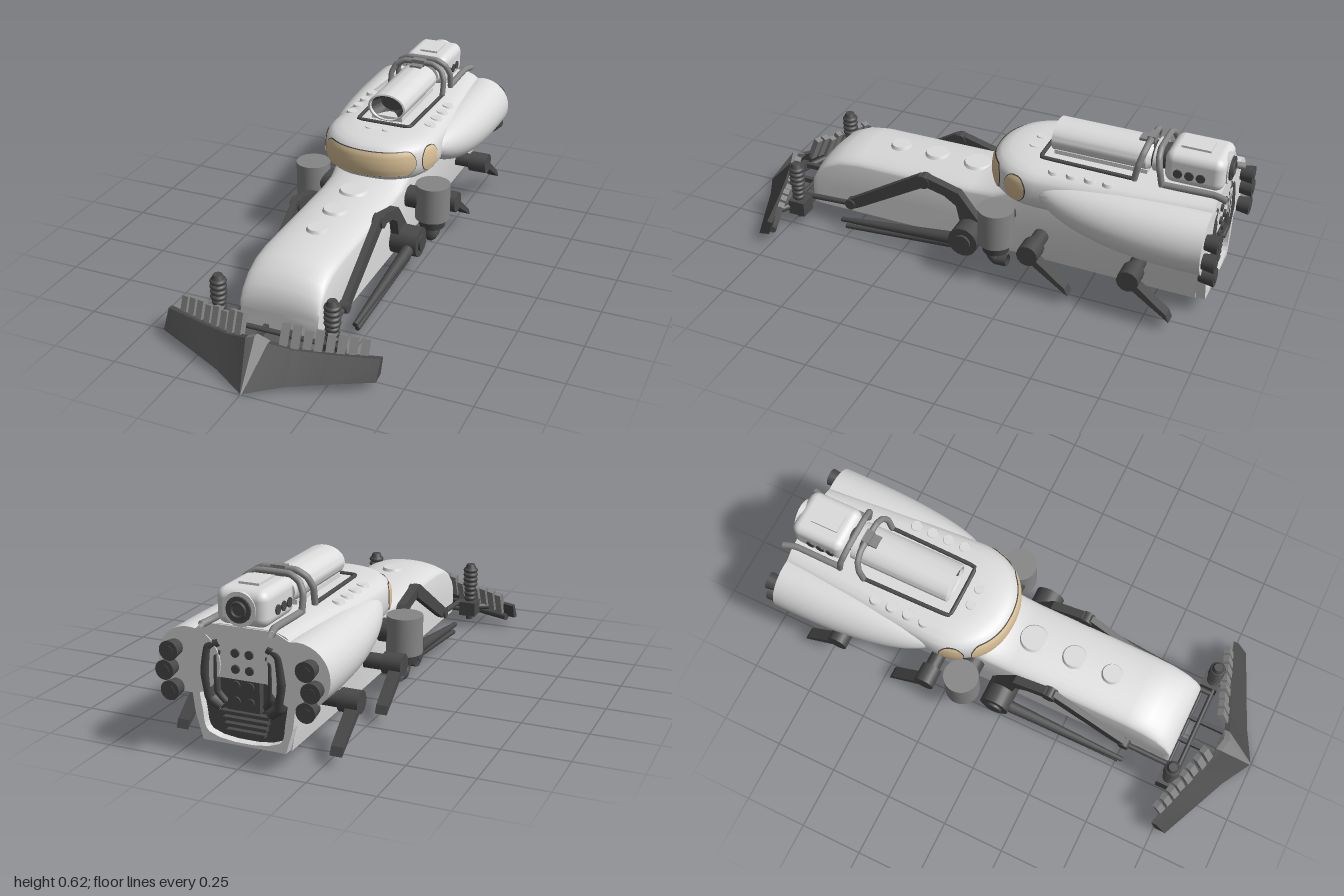
import * as THREE from 'three';
import { toCreasedNormals } from 'three/addons/utils/BufferGeometryUtils.js';
import { RoundedBoxGeometry } from 'three/addons/geometries/RoundedBoxGeometry.js';

const V = (x, y, z) => new THREE.Vector3(x, y, z);
const paint = (name, color) => new THREE.MeshStandardMaterial({ name, color, side: THREE.DoubleSide });

// Skin over equal-length closed loops of points, capped at both ends
function loft(loops, crease = 0.6) {
  const n = loops[0].length, pos = loops.flat(2), tri = [];
  loops.forEach((loop, i) => {
    if (i === loops.length - 1) return;
    for (let j = 0; j < n; j++) {
      const a = i * n + j, b = i * n + (j + 1) % n;
      tri.push(a, b, b + n, a, b + n, a + n);
    }
  });
  [0, loops.length - 1].forEach((i) => {
    const c = pos.length / 3, mid = [0, 1, 2].map((k) => loops[i].reduce((s, p) => s + p[k], 0) / n);
    pos.push(...mid);
    for (let j = 0; j < n; j++) {
      const a = i * n + j, b = i * n + (j + 1) % n;
      tri.push(...(i ? [a, b, c] : [b, a, c]));
    }
  });
  // Turn the faces outward if the enclosed volume comes out negative
  let vol = 0;
  const at = (i) => V(pos[3 * i], pos[3 * i + 1], pos[3 * i + 2]);
  for (let i = 0; i < tri.length; i += 3) vol += at(tri[i]).dot(at(tri[i + 1]).cross(at(tri[i + 2])));
  if (vol < 0) tri.reverse();
  const g = new THREE.BufferGeometry();
  g.setAttribute('position', new THREE.Float32BufferAttribute(pos, 3));
  g.setIndex(tri);
  return toCreasedNormals(g, crease);
}

// Flat plate drawn in (z, y), centred on x
function plate(pts, x, t) {
  const shape = new THREE.Shape(pts.map(([z, y]) => new THREE.Vector2(z, y)));
  return new THREE.ExtrudeGeometry(shape, { depth: t, bevelEnabled: false }).rotateY(-Math.PI / 2).translate(x + t / 2, 0, 0);
}

// Point on the cabin wall: angle round the front, height, offset outward
const insets = [[0.30, 0.07], [0.335, 0.022], [0.355, 0.007], [0.38, 0.001], [0.41, 0], [0.44, 0.004], [0.456, 0.012], [0.472, 0.032], [0.482, 0.065], [0.488, 0.12]];
function insetAt(y) {
  const i = Math.max(1, insets.findIndex((p) => p[0] >= y)), [a, b] = [insets[i - 1], insets[i]];
  return THREE.MathUtils.lerp(a[1], b[1], (y - a[0]) / (b[0] - a[0]));
}
function cabinPoint(th, y, out = 0) {
  const d = insetAt(y) - out, s = Math.sin(th);
  return [Math.sign(s) * (0.236 - d) * Math.abs(s) ** 0.92, y, -0.295 + (0.235 - d) * Math.max(0, Math.cos(th)) ** 0.92];
}

// Rounded window patch that follows the cabin wall
function windowPatch(mid, half, h, round, out) {
  const N = 14, M = 28, pos = [], idx = [];
  for (let i = 0; i <= N; i++) {
    const v = Math.sin((i / N - 0.5) * Math.PI), w = half * (1 - round * (1 - Math.sqrt(Math.max(0, 1 - v * v))));
    for (let j = 0; j <= M; j++) {
      pos.push(...cabinPoint(mid + w * (2 * j / M - 1), 0.405 + v * h, out));
      if (i < N && j < M) {
        const a = i * (M + 1) + j, b = a + M + 1;
        idx.push(a, a + 1, b + 1, a, b + 1, b);
      }
    }
  }
  const g = new THREE.BufferGeometry();
  g.setAttribute('position', new THREE.Float32BufferAttribute(pos, 3));
  g.setIndex(idx);
  g.computeVertexNormals();
  return g;
}

export function createModel() {
  const model = new THREE.Group();
  const light = paint('lightHull', 0xdcdcdc), mid = paint('midGrey', 0x868686);
  const dark = paint('darkMetal', 0x4a4a4a), tan = paint('tanGlass', 0xdcc398);
  const add = (name, geo, mat) => {
    const m = new THREE.Mesh(geo, mat);
    m.name = name;
    model.add(m);
    return m;
  };
  const rod = (name, a, b, r, mat = dark, r2 = r, seg = 20) => {
    const m = add(name, new THREE.CylinderGeometry(r2, r, a.distanceTo(b), seg), mat);
    m.position.copy(a).lerp(b, 0.5);
    m.quaternion.setFromUnitVectors(V(0, 1, 0), b.clone().sub(a).normalize());
    return m;
  };
  const box = (name, w, h, d, x, y, z, mat = dark) => add(name, new THREE.BoxGeometry(w, h, d).translate(x, y, z), mat);
  const pipe = (name, pts, r, mat = dark) =>
    add(name, new THREE.TubeGeometry(new THREE.CatmullRomCurve3(pts, false, 'catmullrom', 0.2), 60, r, 10), mat);
  const stud = (name, x, y, z, r, h) => add(name, new THREE.CylinderGeometry(r * 0.82, r, h, 28).translate(x, y + h / 2, z), light);

  // Long hull: z, bottom half-width, side half-width, top, arch height
  const hull = [
    [0.695, 0.15, 0.152, 0.17, 0.03], [0.69, 0.153, 0.155, 0.205, 0.035], [0.67, 0.155, 0.155, 0.245, 0.04], [0.63, 0.155, 0.155, 0.285, 0.045],
    [0.57, 0.155, 0.155, 0.312, 0.045], [0.49, 0.155, 0.155, 0.324, 0.045], [0, 0.155, 0.155, 0.328, 0.045], [-0.1, 0.155, 0.157, 0.34, 0.05],
    [-0.25, 0.157, 0.165, 0.42, 0.06], [-0.5, 0.159, 0.178, 0.47, 0.08], [-0.915, 0.16, 0.188, 0.48, 0.1],
  ].map(([z, b, m, top, arch]) => {
    const half = [[b, 0.065], [m, 0.065 + 0.38 * (top - 0.065)]];
    for (let i = 0; i <= 8; i++) {
      const a = (i / 8) * Math.PI / 2;
      half.push([m * Math.cos(a), top - arch + arch * Math.sin(a)]);
    }
    return [...half, ...half.slice(0, -1).reverse().map(([x, y]) => [-x, y])].map(([x, y]) => [x, y, z]);
  });
  add('hull', loft(hull), light);
  [[0.03, 0.062], [0.205, 0.053], [0.365, 0.045]].forEach(([z, r]) => stud('hullDisc', 0, 0.318, z, r, 0.018));

  // Cabin with tapering rear deck
  add('cabin', loft(insets.map(([y, d]) => {
    const loop = [], k = 1 - d / 0.236;
    for (let i = 0; i <= 36; i++) loop.push(cabinPoint((i / 36 - 0.5) * Math.PI, y));
    const tail = [[0.223, -0.5], [0.206, -0.72], [0.185, -0.945]].map(([x, z]) => [x * k, y, z]);
    return [...loop, ...tail, ...tail.slice().reverse().map(([x, a, z]) => [-x, a, z])];
  }), 0.8), light);
  [[0, 0.905, 0.2], [1.245, 0.2, 0.85], [-1.245, 0.2, 0.85]].forEach(([c, w, r]) => {
    add('windowFrame', windowPatch(c, w + 0.014, 0.0525, r, 0.003), dark);
    add('windowGlass', windowPatch(c, w, 0.05, r, 0.005), tan);
  });

  // Rear ring and engine bay
  const outline = [[0.155, 0.067], [0.182, 0.16], [0.197, 0.28], [0.195, 0.4], [0.172, 0.46], [0.12, 0.486]];
  const ringPts = (k) => [...outline, ...outline.slice().reverse().map(([x, y]) => [-x, y])]
    .map(([x, y]) => new THREE.Vector2(x * k, 0.28 + (y - 0.28) * k));
  const ring = new THREE.Shape(ringPts(1));
  const hole = new THREE.CatmullRomCurve3(ringPts(0.85).map((p) => V(p.x, p.y, 0)), true, 'centripetal').getPoints(60);
  ring.holes.push(new THREE.Path(hole.map((p) => new THREE.Vector2(p.x, p.y))));
  add('rearRing', new THREE.ExtrudeGeometry(ring, { depth: 0.035, bevelEnabled: false }).translate(0, 0, -0.95), light);
  add('engineBay', new THREE.ShapeGeometry(new THREE.Shape(ringPts(0.95))).translate(0, 0, -0.919), dark);
  box('enginePanel', 0.12, 0.24, 0.03, 0, 0.31, -0.93);
  for (let i = 0; i < 8; i++) {
    const x = i % 2 ? 0.026 : -0.026, y = 0.225 + Math.floor(i / 2) * 0.056;
    rod('engineValve', V(x, y, -0.94), V(x, y, -0.952), 0.015);
  }
  for (let i = 0; i < 4; i++) box('engineVent', 0.18 - i * 0.012, 0.012, 0.025, 0, 0.175 - i * 0.022, -0.93);

  // Weapon tube on the deck
  const tube = [[0.05, -0.315], [0.052, -0.3], [0.058, -0.302], [0.058, -0.665], [0.045, -0.68]].map(([r, z]) => new THREE.Vector2(r, z));
  add('deckTube', toCreasedNormals(new THREE.LatheGeometry(tube, 36), 0.7).rotateX(Math.PI / 2).scale(1.38, 1, 1).translate(0, 0.543, 0), light);
  const bore = [[0, -0.37], [0.036, -0.37], [0.051, -0.31]].map(([r, z]) => new THREE.Vector2(r, z));
  add('tubeBore', toCreasedNormals(new THREE.LatheGeometry(bore, 36), 0.5).rotateX(Math.PI / 2).scale(1.38, 1, 1).translate(0, 0.543, 0), dark);
  box('tubeCradle', 0.13, 0.03, 0.36, 0, 0.49, -0.49, light);
  rod('tubeCollar', V(0, 0.545, -0.66), V(0, 0.545, -0.74), 0.05);
  add('collarBand', new THREE.CylinderGeometry(0.058, 0.058, 0.022, 32).rotateX(Math.PI / 2).scale(1.35, 1, 1).translate(0, 0.545, -0.7), light);
  box('tubeLatch', 0.05, 0.012, 0.05, 0, 0.602, -0.645, mid);
  pipe('deckRail', [V(-0.118, 0.49, -0.64), V(-0.112, 0.49, -0.29), V(-0.09, 0.49, -0.272), V(0.09, 0.49, -0.272), V(0.112, 0.49, -0.29), V(0.118, 0.49, -0.64)], 0.008);
  [[-0.65, 1], [-0.73, -1]].forEach(([z, s]) => {
    const side = [[0.118, 0.487, s * 0.012], [0.118, 0.55, 0], [0.1, 0.588, -s * 0.01], [0.06, 0.61, -s * 0.015]];
    const pts = [...side, ...side.slice().reverse().map(([x, y, dz]) => [-x, y, dz])].map(([x, y, dz]) => V(x, y, z + dz));
    pipe('rollHoop', pts, 0.012, mid);
  });
  box('hoopClamp', 0.055, 0.028, 0.03, 0, 0.61, -0.665, mid);

  // Rear power unit
  add('powerUnit', new RoundedBoxGeometry(0.19, 0.128, 0.22, 4, 0.035).translate(0, 0.55, -0.845), light);
  box('powerHatch', 0.075, 0.012, 0.11, 0, 0.616, -0.835, light);
  add('rearCasing', new THREE.CylinderGeometry(0.056, 0.06, 0.03, 28).rotateX(Math.PI / 2).translate(0, 0.55, -0.945), light);
  rod('rearThruster', V(0, 0.55, -0.94), V(0, 0.55, -0.968), 0.045);
  add('thrusterRing', new THREE.TorusGeometry(0.025, 0.006, 8, 24).translate(0, 0.55, -0.968), dark);

  for (const s of [1, -1]) {
    const P = (x, y, z) => V(s * x, y, z);

    // Deck studs
    for (let i = 0; i < 4; i++) stud('deckStud', s * 0.17, 0.474, -0.35 - i * 0.07, 0.025, 0.012);
    stud('deckStud', s * 0.036, 0.482, -0.22, 0.022, 0.01);

    // Side nacelle with three nozzles
    const rings = [];
    for (let i = 0; i <= 20; i++) {
      const t = (i / 20) ** 1.8, f = Math.sin(Math.PI / 2 * Math.min(1, t * 1.15) ** 0.56) + 0.015, loop = [];
      for (let j = 0; j < 32; j++) {
        const a = j / 32 * Math.PI * 2;
        loop.push([s * (0.2 + 0.116 * f * Math.cos(a)), 0.346 + 0.058 * (1 - t) ** 3 + 0.115 * f * Math.sin(a), -0.29 - 0.66 * t]);
      }
      rings.push(loop);
    }
    add('nacelle', loft(rings), light);
    [[0.25, 0.385], [0.268, 0.315], [0.25, 0.245]].forEach(([x, y]) => {
      rod('nozzle', P(x, y, -0.94), P(x, y, -0.998), 0.027, dark, 0.035);
      rod('nozzleCore', P(x, y, -0.99), P(x, y, -1), 0.018);
    });
    pipe('rearPipe', [P(0.115, 0.49, -0.74), P(0.115, 0.495, -0.93), P(0.128, 0.49, -0.985)], 0.013, mid);
    for (let i = 0; i < 3; i++) rod('powerPort', P(0.085, 0.537, -0.79 - i * 0.042), P(0.1, 0.537, -0.79 - i * 0.042), 0.017);
    pipe('enginePipe', [P(0.09, 0.42, -0.93), P(0.13, 0.4, -0.935), P(0.142, 0.31, -0.94), P(0.13, 0.22, -0.935), P(0.09, 0.19, -0.93)], 0.02);
    pipe('enginePipe', [P(0.075, 0.4, -0.93), P(0.1, 0.37, -0.94), P(0.1, 0.25, -0.94), P(0.075, 0.21, -0.93)], 0.012);

    // Side pod with hooked exhaust
    rod('podBody', P(0.26, 0.175, -0.158), P(0.26, 0.322, -0.158), 0.069, mid, 0.069, 36);
    rod('podBase', P(0.26, 0.137, -0.158), P(0.26, 0.18, -0.158), 0.05, dark, 0.06, 32);
    pipe('podHook', [P(0.255, 0.15, -0.135), P(0.255, 0.11, -0.14), P(0.255, 0.09, -0.16), P(0.255, 0.092, -0.205)], 0.024);
    rod('podMount', P(0.13, 0.25, -0.155), P(0.25, 0.25, -0.155), 0.045);

    // Side legs
    for (const z of [-0.305, -0.695]) {
      rod('legMount', P(0.15, 0.18, z), P(0.26, 0.18, z), 0.03);
      rod('legHub', P(0.24, 0.18, z), P(0.316, 0.18, z), 0.042, dark, 0.042, 12);
      add('leg', plate([[z, 0.16], [z, 0.197], [z - 0.152, 0.075], [z - 0.165, 0.045]], s * 0.293, 0.046), dark);
    }

    // Arm joint and long barrels
    rod('armJoint', P(0.14, 0.13, -0.02), P(0.265, 0.13, -0.02), 0.06, dark, 0.06, 24);
    rod('jointCap', P(0.26, 0.13, -0.02), P(0.275, 0.13, -0.02), 0.034);
    rod('upperBarrel', P(0.232, 0.118, 0.0), P(0.222, 0.062, 0.53), 0.026, dark, 0.01, 12);
    rod('lowerBarrel', P(0.232, 0.085, 0.04), P(0.222, 0.035, 0.51), 0.014, dark, 0.01, 12);
    // Folding arm to the plow
    add('upperArm', plate([[0.2, 0.328], [0.16, 0.328], [0.03, 0.293], [-0.06, 0.18], [-0.055, 0.14], [0.02, 0.15], [0.04, 0.235], [0.09, 0.268], [0.18, 0.29]], s * 0.172, 0.034), dark);
    add('foreArm', plate([[0.2, 0.33], [0.155, 0.318], [0.18, 0.28], [0.46, 0.115], [0.5, 0.095], [0.53, 0.1], [0.52, 0.132]], s * 0.171, 0.026), dark);
    rod('armElbow', P(0.15, 0.305, 0.18), P(0.192, 0.305, 0.18), 0.027);
    rod('armWrist', P(0.152, 0.115, 0.51), P(0.19, 0.115, 0.51), 0.022);
    rod('armLink', P(0.171, 0.112, 0.5), P(0.171, 0.098, 0.74), 0.011);

    // Ribbed damper on its base
    box('damperBase', 0.07, 0.06, 0.07, s * 0.222, 0.082, 0.72);
    rod('damperFoot', P(0.222, 0.03, 0.72), P(0.222, 0.06, 0.72), 0.014);
    rod('damperCore', P(0.222, 0.1, 0.725), P(0.222, 0.262, 0.725), 0.02);
    rod('damperCap', P(0.222, 0.26, 0.725), P(0.222, 0.277, 0.725), 0.024, dark, 0.017);
    for (let i = 0; i < 7; i++) {
      const r = i < 3 ? 0.026 : 0.031;
      add('damperRib', new THREE.TorusGeometry(r - 0.009, 0.0095, 8, 24).rotateX(Math.PI / 2).translate(s * 0.222, 0.125 + i * 0.021, 0.725), dark);
    }

    // Plow frame
    box('plowStrut', 0.018, 0.02, 0.22, s * 0.05, 0.085, 0.77);
    rod('plowBrace', P(0.222, 0.08, 0.74), P(0.3, 0.075, 0.795), 0.014);
    rod('plowRail', P(0.05, 0.045, 0.89), P(0.38, 0.045, 0.76), 0.014);

    // Plow wing and ridge: bottom x, y, z then top x, y, z
    const wing = [[0, 0.004, 1, 0, 0.168, 0.88], [0.004, 0.005, 0.996, 0.043, 0.143, 0.868], [0.13, 0.023, 0.925, 0.13, 0.121, 0.842], [0.25, 0.032, 0.873, 0.25, 0.112, 0.805], [0.415, 0.04, 0.8, 0.415, 0.108, 0.757]]
      .map(([x0, y0, z0, x1, y1, z1]) => [[s * x0, y0, z0], [s * x1, y1, z1], [s * x1, y1 - 0.002, z1 - 0.022], [s * x0, y0 + 0.008, z0 - 0.045]]);
    add('plowRidge', loft(wing.slice(0, 2), 0.3), mid);
    add('plowWing', loft(wing.slice(1), 0.3), dark);

    // Teeth behind the upper plow edge
    [0.203, 0.197, 0.176, 0.18, 0.168, 0.171, 0.166, 0.159].forEach((top, i) => {
      const x = 0.085 + i * 0.038;
      const tooth = box('plowTooth', 0.029, 0.1, 0.024, 0, 0, 0, mid);
      tooth.position.set(s * x, top - 0.049, 0.847 - x * 0.29);
      tooth.rotation.set(-0.4, s * 0.3, 0);
    });
  }
  rod('crossRod', V(-0.22, 0.1, 0.74), V(0.22, 0.1, 0.74), 0.008);
  rod('crossRod', V(-0.22, 0.075, 0.7), V(0.22, 0.075, 0.7), 0.008);
  box('plowBracket', 0.12, 0.03, 0.03, 0, 0.085, 0.86);
  return model;
}
